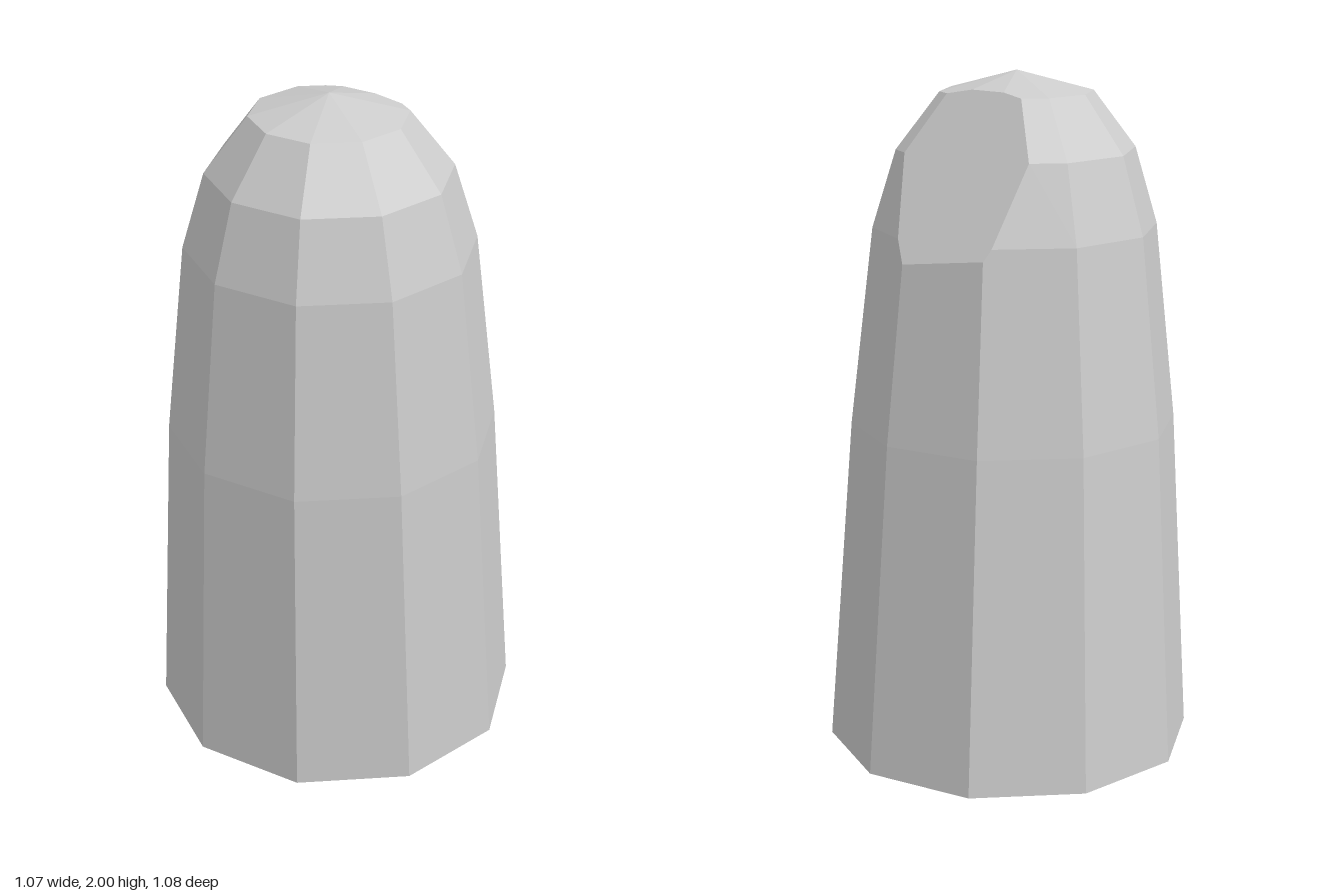
import * as THREE from 'three';

const SIDES = 10;
const START = THREE.MathUtils.degToRad(11.6);

// Each ring: height, radius, forward shift
const RINGS = [
  [0, 0.545, 0],
  [0.97, 0.483, 0.04],
  [1.55, 0.418, 0.055],
  [1.775, 0.35, 0.062],
  [1.94, 0.224, 0.067],
  [2, 0, 0.067],
];

// Slanted cut that makes the flat facet at the upper back
const CUT = new THREE.Vector3(0.25, 0.555, -0.97);
const CUT_LEVEL = 1.184;

function ringPoint(ring, side) {
  const [y, r, z] = RINGS[ring];
  const a = START + (side % SIDES) * Math.PI * 2 / SIDES;
  return new THREE.Vector3(r * Math.cos(a), y, z + r * Math.sin(a));
}

// Keep the part of a polygon below the cut; collect the points on the cut line
function clip(polygon, cutPoints) {
  const kept = [];
  polygon.forEach((p, i) => {
    const q = polygon[(i + 1) % polygon.length];
    const dp = p.dot(CUT) - CUT_LEVEL;
    const dq = q.dot(CUT) - CUT_LEVEL;
    if (dp <= 0) kept.push(p);
    if (dp * dq < 0) {
      const hit = p.clone().lerp(q, dp / (dp - dq));
      kept.push(hit);
      cutPoints.push(hit);
    }
  });
  return kept;
}

// Flat-faced geometry from convex polygons
function fromPolygons(polygons) {
  const points = [];
  for (const poly of polygons) {
    for (let i = 1; i + 1 < poly.length; i++) points.push(poly[0], poly[i], poly[i + 1]);
  }
  const geometry = new THREE.BufferGeometry().setFromPoints(points);
  geometry.computeVertexNormals();
  return geometry;
}

export function createModel() {
  const group = new THREE.Group();
  group.name = 'roundedPost';
  const grey = new THREE.MeshStandardMaterial({
    name: 'light grey', color: 0xcccccc, flatShading: true, side: THREE.DoubleSide,
  });

  // Tapered ten-sided shell with a domed top, open underneath
  const faces = [];
  const cutPoints = [];
  for (let ring = 0; ring < RINGS.length - 1; ring++) {
    for (let side = 0; side < SIDES; side++) {
      const face = [ringPoint(ring, side), ringPoint(ring + 1, side)];
      if (RINGS[ring + 1][1] > 0) face.push(ringPoint(ring + 1, side + 1));
      face.push(ringPoint(ring, side + 1));
      const kept = clip(face, cutPoints);
      if (kept.length > 2) faces.push(kept);
    }
  }
  const shell = new THREE.Mesh(fromPolygons(faces), grey);
  shell.name = 'shell';
  group.add(shell);

  // Flat facet closing the cut, its corners sorted around the middle
  const normal = CUT.clone().normalize();
  const across = new THREE.Vector3(0, 1, 0).cross(normal).normalize();
  const along = normal.clone().cross(across);
  const middle = cutPoints.reduce((sum, p) => sum.add(p), new THREE.Vector3())
    .divideScalar(cutPoints.length);
  const angle = (p) => {
    const d = p.clone().sub(middle);
    return Math.atan2(d.dot(along), d.dot(across));
  };
  const outline = cutPoints
    .sort((a, b) => angle(a) - angle(b))
    .filter((p, i, all) => i === 0 || p.distanceTo(all[i - 1]) > 1e-5);
  const facet = new THREE.Mesh(fromPolygons([outline]), grey);
  facet.name = 'backFacet';
  group.add(facet);

  return group;
}
